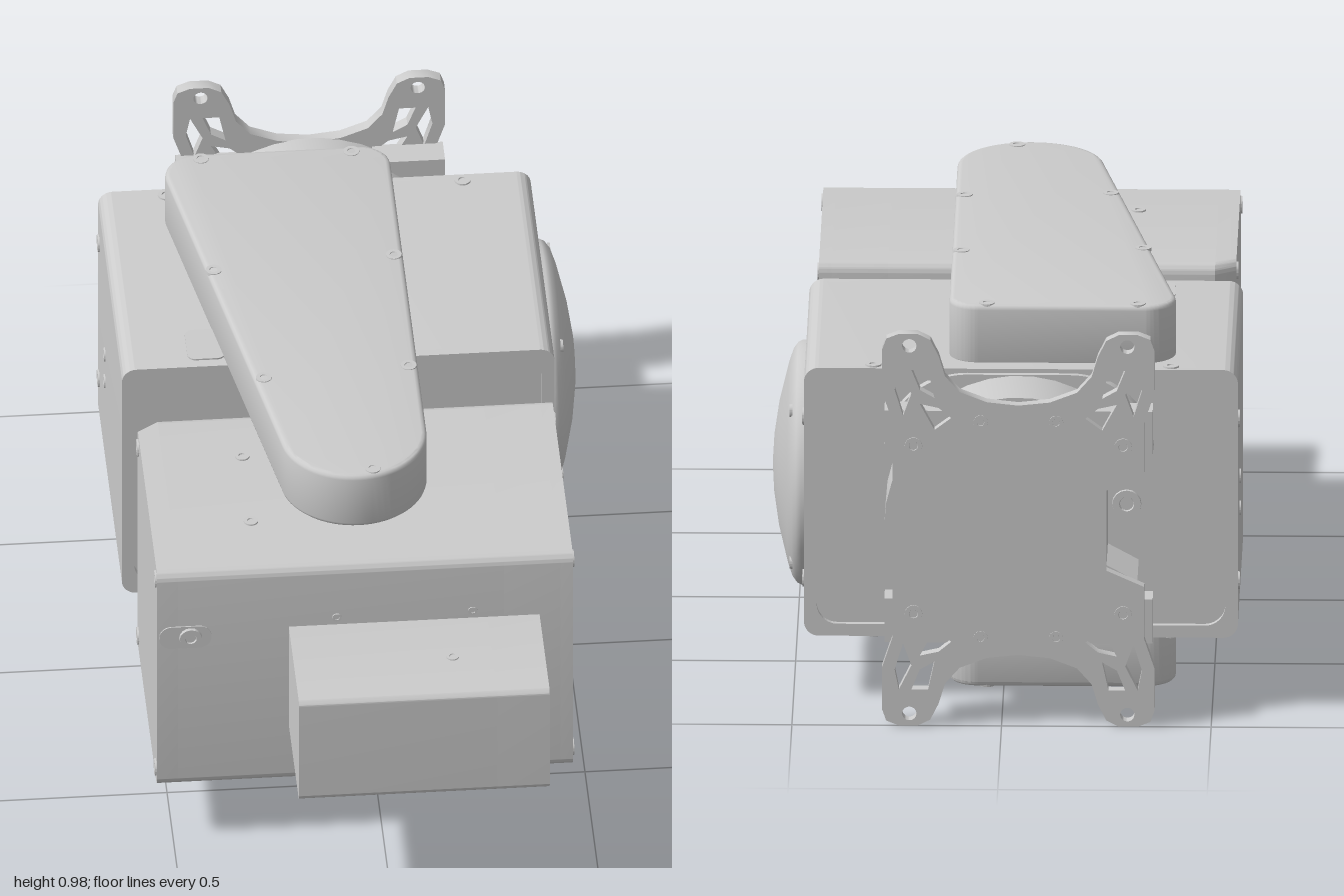
import * as THREE from 'three';
import { toCreasedNormals } from 'three/addons/utils/BufferGeometryUtils.js';

const grey = new THREE.MeshStandardMaterial({ color: 0xcccccc });
const CY = 0.495; // height of the mirror plane

function roundRect(x0, y0, x1, y1, r, Kind = THREE.Shape) {
  const s = new Kind();
  s.moveTo(x0 + r, y0);
  s.lineTo(x1 - r, y0);
  s.absarc(x1 - r, y0 + r, r, -Math.PI / 2, 0);
  s.lineTo(x1, y1 - r);
  s.absarc(x1 - r, y1 - r, r, 0, Math.PI / 2);
  s.lineTo(x0 + r, y1);
  s.absarc(x0 + r, y1 - r, r, Math.PI / 2, Math.PI);
  s.lineTo(x0, y0 + r);
  s.absarc(x0 + r, y0 + r, r, Math.PI, Math.PI * 1.5);
  return s;
}

function circleHole(x, y, r) {
  const p = new THREE.Path();
  p.absarc(x, y, r, 0, Math.PI * 2);
  return p;
}

// Extrude a shape from a to b along an axis.
// Shape plane: axis x uses (-z, y), axis y uses (x, -z), axis z uses (x, y).
function extrude(shape, axis, a, b, bevel = 0) {
  const g = new THREE.ExtrudeGeometry(shape, {
    depth: b - a - 2 * bevel, curveSegments: 16, bevelEnabled: bevel > 0,
    bevelSize: bevel, bevelThickness: bevel, bevelOffset: -bevel, bevelSegments: 3,
  });
  g.translate(0, 0, a + bevel);
  if (axis === 'x') g.rotateY(Math.PI / 2);
  if (axis === 'y') g.rotateX(-Math.PI / 2);
  return toCreasedNormals(g, 0.6);
}

export function createModel() {
  const model = new THREE.Group();
  const add = (name, geometry, parent = model) => {
    const m = new THREE.Mesh(geometry, grey);
    m.name = name;
    parent.add(m);
    return m;
  };
  const group = (name) => {
    const g = new THREE.Group();
    g.name = name;
    model.add(g);
    return g;
  };
  const box = (name, x0, x1, y0, y1, z0, z1, parent) => {
    const g = new THREE.BoxGeometry(x1 - x0, y1 - y0, z1 - z0);
    g.translate((x0 + x1) / 2, (y0 + y1) / 2, (z0 + z1) / 2);
    return add(name, g, parent);
  };

  // Socket-head screw, facing a given direction
  const screwProfile = [[0.02, -0.004], [0.019, 0.004], [0.01, 0.004], [0.009, 0.001], [0, 0.001]];
  const screwGeo = toCreasedNormals(
    new THREE.LatheGeometry(screwProfile.map((p) => new THREE.Vector2(...p)), 16), 0.6);
  const screw = (parent, pos, dir, scale = 1) => {
    const m = add('screw', screwGeo, parent);
    m.position.set(...pos);
    m.quaternion.setFromUnitVectors(new THREE.Vector3(0, 1, 0), new THREE.Vector3(...dir));
    m.scale.setScalar(scale);
  };

  // Front housing: solid run, then stepped bore opening on the +x end
  const housing = group('frontHousing');
  const section = (r = 0) => {
    const s = roundRect(-0.7, 0.175, -0.085, 0.815, 0.028);
    if (r) s.holes.push(circleHole(-0.375, 0.5, r));
    return s;
  };
  const cap = extrude(section(), 'x', -0.54, -0.49);
  const cp = cap.attributes.position;
  for (let i = 0; i < cp.count; i++) {
    if (cp.getX(i) < -0.52 && cp.getZ(i) < 0.2) cp.setZ(i, cp.getZ(i) + 0.035);
  }
  add('chamferedEnd', toCreasedNormals(cap, 0.6), housing);
  add('housingBody', extrude(section(), 'x', -0.49, 0.29), housing);
  add('innerBore', extrude(section(0.152), 'x', 0.29, 0.425), housing);
  add('outerBore', extrude(section(0.175), 'x', 0.425, 0.455), housing);
  for (const z of [0.13, 0.67]) for (const y of [0.215, 0.78]) {
    screw(housing, [0.455, y, z], [1, 0, 0], 1.1);
    screw(housing, [-0.54, y, Math.max(z, 0.155)], [-1, 0, 0], 1.1);
  }
  for (const x of [-0.11, 0.215]) for (const y of [0.325, 0.66]) screw(housing, [x, y, 0.7], [0, 0, 1], 0.6);
  for (const z of [0.255, 0.51]) screw(housing, [-0.3, 0.815, z], [0, 1, 0], 0.9);
  add('sidePlug', extrude(roundRect(-0.535, 0.592, -0.41, 0.656, 0.03), 'z', 0.69, 0.703), housing);
  screw(housing, [-0.46, 0.624, 0.705], [0, 0, 1], 1.4);
  box('rearStrip', 0.37, 0.44, 0.24, 0.76, 0.072, 0.09, housing);
  for (const y of [0.29, 0.5, 0.71]) screw(housing, [0.405, y, 0.072], [0, 0, -1], 0.9);

  // Small front unit with an aperture on the +x end
  const unit = group('smallFrontUnit');
  const unitShape = () => roundRect(-1, 0.345, -0.69, 0.64, 0.014);
  const open = unitShape();
  open.holes.push(circleHole(-0.855, 0.495, 0.064));
  add('unitBody', extrude(unitShape(), 'x', -0.225, 0.25), unit);
  add('unitAperture', extrude(open, 'x', 0.25, 0.375), unit);
  screw(unit, [0.155, 0.495, 1.0 - 0.004], [0, 0, 1], 0.8);
  screw(unit, [0.155, 0.64, 0.85], [0, 1, 0], 0.8);

  // Rear housing with recessed faces front and back
  const rear = group('rearHousing');
  const rearShape = () => roundRect(-0.56, 0.16, 0.475, 0.83, 0.035);
  const frame = rearShape();
  frame.holes.push(roundRect(-0.53, 0.19, 0.445, 0.8, 0.05, THREE.Path));
  add('rearBody', extrude(rearShape(), 'z', -0.77, -0.105), rear);
  add('rearRim', extrude(frame, 'z', -0.785, -0.77), rear);
  add('frontRim', extrude(frame, 'z', -0.105, -0.085), rear);
  for (const y of [0.295, 0.7]) {
    screw(rear, [0.475, y, -0.755], [1, 0, 0], 1.1);
    screw(rear, [-0.56, y, -0.755], [-1, 0, 0], 1.1);
  }
  for (const y of [0.42, 0.5]) screw(rear, [-0.56, y, -0.58], [-1, 0, 0], 0.9);
  for (const x of [-0.4, 0.31]) {
    screw(rear, [x, 0.83, -0.76], [0, 1, 0]);
    screw(rear, [x, 0.16, -0.76], [0, -1, 0]);
  }
  add('topPlug', extrude(roundRect(-0.4, 0.11, -0.31, 0.225, 0.02), 'y', 0.82, 0.834), rear);

  // Domed cover on the +x side
  const domePts = [[0.293, -0.01], [0.293, 0.008], [0.287, 0.02], [0.272, 0.031], [0.24, 0.042],
    [0.15, 0.064], [0.07, 0.076], [0, 0.08]];
  const dome = new THREE.LatheGeometry(domePts.map((p) => new THREE.Vector2(...p)), 64);
  dome.rotateZ(-Math.PI / 2).translate(0.475, 0.495, -0.475);
  add('domeCover', dome, rear);
  for (const y of [0.305, 0.685]) for (const z of [-0.285, -0.665]) screw(rear, [0.508, y, z], [1, 0, 0], 0.8);

  // Tapered arms above and below, joining the two housings
  const armShape = new THREE.Shape();
  armShape.moveTo(0.13, -0.38);
  armShape.lineTo(0.13, 0.665);
  armShape.absarc(0.06, 0.665, 0.07, 0, Math.PI / 2);
  armShape.lineTo(-0.33, 0.735);
  armShape.absarc(-0.33, 0.655, 0.08, Math.PI / 2, Math.PI * 1.06);
  armShape.absarc(-0.045, -0.385, 0.175, Math.PI * 1.06, Math.PI * 2);
  const armScrews = [[-0.32, -0.712], [0.04, -0.712], [-0.325, -0.275], [0.108, -0.3],
    [-0.24, 0.155], [0.108, 0.135], [-0.01, 0.53]];
  for (const [name, sign] of [['upperArm', 1], ['lowerArm', -1]]) {
    const arm = group(name);
    const span = (a, b) => [CY + sign * a, CY + sign * b].sort((p, q) => p - q);
    add('armBody', extrude(armShape, 'y', ...span(0.325, 0.477), 0.012), arm);
    const [lo, hi] = span(0.3, 0.34);
    const boss = new THREE.CylinderGeometry(0.15, 0.15, hi - lo, 40);
    boss.translate(-0.045, (lo + hi) / 2, 0.38);
    add('pivotBoss', boss, arm);
    for (const [x, z] of armScrews) screw(arm, [x, CY + sign * 0.475, z], [0, sign, 0]);
  }

  // Rear neck with a notch on the -x side
  const mount = group('wallMount');
  const neck = new THREE.Shape();
  const na = Math.asin(0.14 / 0.318);
  neck.absarc(-0.038, 0.5, 0.318, -Math.PI + na, Math.PI - na);
  neck.lineTo(-0.25, 0.6);
  neck.lineTo(-0.25, 0.4);
  neck.closePath();
  add('neck', extrude(neck, 'z', -0.972, -0.77), mount);
  add('neckFlange', extrude(roundRect(-0.36, 0.18, 0.285, 0.82, 0.2), 'z', -0.8, -0.77), mount);
  screw(mount, [-0.295, 0.5, -0.8], [0, 0, -1], 1.8);

  // Mounting plate: four ears, concave top and bottom, side notch
  const plate = new THREE.Shape();
  const PX = -0.04;
  const P = (x, y) => [PX + x, CY + y];
  const ear = (sx, sy) => [[0.3, 0.27], [0.325, 0.345], [0.325, 0.45], [0.315, 0.478], [0.285, 0.49],
    [0.24, 0.49], [0.21, 0.475], [0.19, 0.435], [0.175, 0.385]].map(([x, y]) => P(x * sx, y * sy));
  const arch = (sx, sy) => [[0.14, 0.345], [0.075, 0.32], [0, 0.312]].map(([x, y]) => P(x * sx, y * sy));
  const upper = [...ear(1, 1), ...arch(1, 1), ...arch(-1, 1).reverse().slice(1), ...ear(-1, 1).reverse()];
  const notch = [[-0.3, 0.14], [-0.21, 0.1], [-0.21, -0.1], [-0.3, -0.14]].map((p) => P(...p));
  const lower = [...ear(-1, -1), ...arch(-1, -1), ...arch(1, -1).reverse().slice(1), ...ear(1, -1).reverse()];
  plate.setFromPoints([...upper, ...notch, ...lower].map((p) => new THREE.Vector2(...p)));
  const slots = [
    [[0.275, 0.285], [0.295, 0.35], [0.285, 0.4], [0.255, 0.34]],
    [[0.2, 0.33], [0.235, 0.35], [0.255, 0.4], [0.215, 0.4]],
    [[0.16, 0.28], [0.2, 0.25], [0.235, 0.315], [0.19, 0.305]],
  ];
  for (const sx of [-1, 1]) for (const sy of [-1, 1]) {
    plate.holes.push(circleHole(...P(0.26 * sx, 0.46 * sy), 0.017));
    for (const s of slots) {
      plate.holes.push(new THREE.Path(s.map(([x, y]) => new THREE.Vector2(...P(x * sx, y * sy)))));
    }
    // Reinforcing pad behind each ear, and fixing screws on the plate
    const [px, py] = P(0.235 * sx, 0.235 * sy);
    box('earPad', px - 0.085, px + 0.085, py - 0.055, py + 0.055, -0.975, -0.905, mount);
    screw(mount, [...P(0.25 * sx, 0.21 * sy), -0.998], [0, 0, -1], 1.1);
    screw(mount, [...P(0.09 * sx, 0.27 * sy), -0.998], [0, 0, -1], 0.9);
  }
  add('mountPlate', extrude(plate, 'z', -1, -0.97), mount);

  return model;
}
